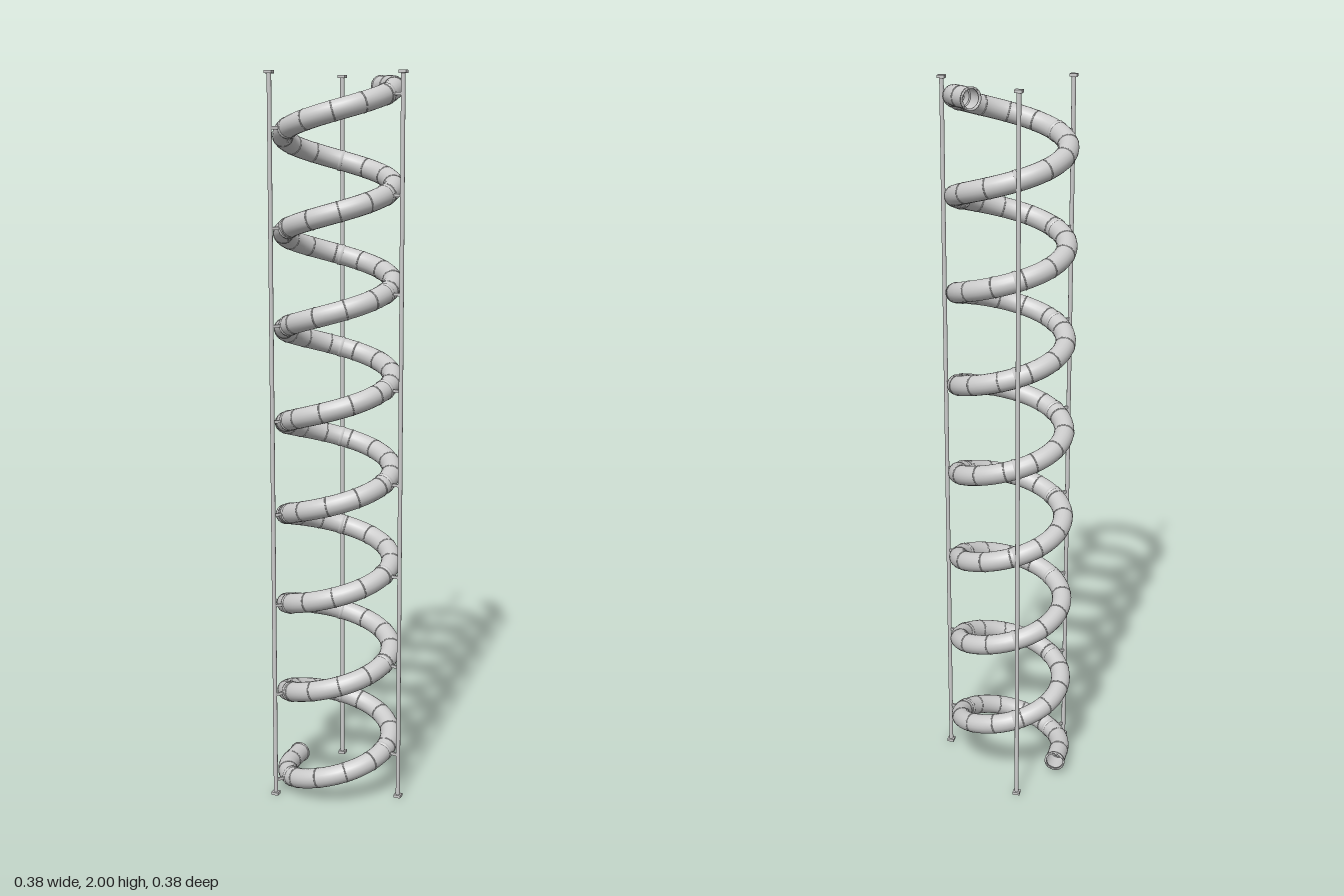
import * as THREE from 'three';

const CX = -0.014, CZ = 0.01;      // coil axis
const R = 0.148, PIPE = 0.0275;    // coil and pipe radius
const PITCH = 0.2593, TURN = Math.PI * 2;
const T_END = 7.5 * TURN + 0.82;   // last coil angle before the straight outlet
const STUB_IN = 0.065, STUB_OUT = 0.042;

// Smooth maximum, used to level the coil out at both ends
const softMax = (a, b, k) => 0.5 * (a + b + Math.sqrt((a - b) ** 2 + k * k));

function coilPoint(t) {
  const a = Math.PI - t;
  let y = 0.005 + PITCH * t / TURN;
  y = softMax(y, 0.04, 0.008);
  y = -softMax(-y, -1.967, 0.008);
  return new THREE.Vector3(CX + R * Math.cos(a), y, CZ + R * Math.sin(a));
}

// Helix with a straight level stub at each end; t is the coil angle
class CoilCurve extends THREE.Curve {
  constructor() {
    super();
    this.arcLengthDivisions = 3000;
    this.t0 = -STUB_IN / R;
    this.t1 = T_END + STUB_OUT / R;
  }
  at(t) {
    const c = THREE.MathUtils.clamp(t, 0, T_END);
    const p = coilPoint(c), a = Math.PI - c, over = (t - c) * R;
    p.x += Math.sin(a) * over;
    p.z -= Math.cos(a) * over;
    return p;
  }
  getPoint(u, target = new THREE.Vector3()) {
    return target.copy(this.at(this.t0 + (this.t1 - this.t0) * u));
  }
}

export function createModel() {
  const model = new THREE.Group();
  const mat = new THREE.MeshStandardMaterial({ color: 0xcccccc });
  const open = new THREE.MeshStandardMaterial({ color: 0xcccccc, side: THREE.DoubleSide });
  const up = new THREE.Vector3(0, 1, 0);
  const curve = new CoilCurve();

  const add = (parent, name, geo, material, x = 0, y = 0, z = 0) => {
    const m = new THREE.Mesh(geo, material);
    m.name = name;
    m.position.set(x, y, z);
    parent.add(m);
    return m;
  };

  // Open pipe
  add(model, 'coiledPipe', new THREE.TubeGeometry(curve, 480, PIPE, 20, false), open);

  // Short sleeve wrapped around the pipe at coil angle t
  const profile = (r, h) => new THREE.LatheGeometry([
    [PIPE - 0.003, -h], [r, -h], [r, h], [PIPE - 0.003, h], [PIPE - 0.003, -h],
  ].map(([x, y]) => new THREE.Vector2(x, y / 2)), 20);
  const sleeve = (parent, name, geo, t) => {
    const p = curve.at(t);
    const m = add(parent, name, geo, open, p.x, p.y, p.z);
    const dir = curve.at(t + 0.01).sub(curve.at(t - 0.01)).normalize();
    m.quaternion.setFromUnitVectors(up, dir);
  };

  // Seams between pipe segments
  const seams = new THREE.Group();
  seams.name = 'pipeSeams';
  model.add(seams);
  const seamGeo = profile(PIPE + 0.0008, 0.003);
  for (let t = 0; t < T_END; t += TURN / 12.2) sleeve(seams, 'seam', seamGeo, t);

  // Lips on the two open ends
  const lipGeo = profile(PIPE + 0.0025, 0.005);
  sleeve(model, 'inletLip', lipGeo, curve.t0 + 0.02);
  sleeve(model, 'outletLip', lipGeo, curve.t1 - 0.02);

  // Three posts, each with end plates and a clamp and arm for every turn
  const postR = 0.2;
  const clampGeo = profile(PIPE + 0.0015, 0.009);
  const postGeo = new THREE.CylinderGeometry(0.006, 0.006, 1.99, 12);
  const plateGeo = new THREE.BoxGeometry(0.02, 0.008, 0.02);
  for (const deg of [132, 12, -108]) {
    const a = THREE.MathUtils.degToRad(deg);
    const x = CX + postR * Math.cos(a), z = CZ + postR * Math.sin(a);
    const post = new THREE.Group();
    post.name = 'supportPost';
    model.add(post);
    add(post, 'postRod', postGeo, mat, x, 1, z);
    add(post, 'footPlate', plateGeo, mat, x, 0.004, z);
    add(post, 'topPlate', plateGeo, mat, x, 1.996, z);
    for (let t = Math.PI - a; t < T_END; t += TURN) {
      sleeve(post, 'clamp', clampGeo, t);
      const inner = R + PIPE - 0.003, len = postR - inner, mid = inner + len / 2;
      const arm = add(post, 'clampArm', new THREE.BoxGeometry(len, 0.008, 0.006), mat,
        CX + mid * Math.cos(a), curve.at(t).y, CZ + mid * Math.sin(a));
      arm.rotation.y = -a;
    }
  }
  return model;
}
